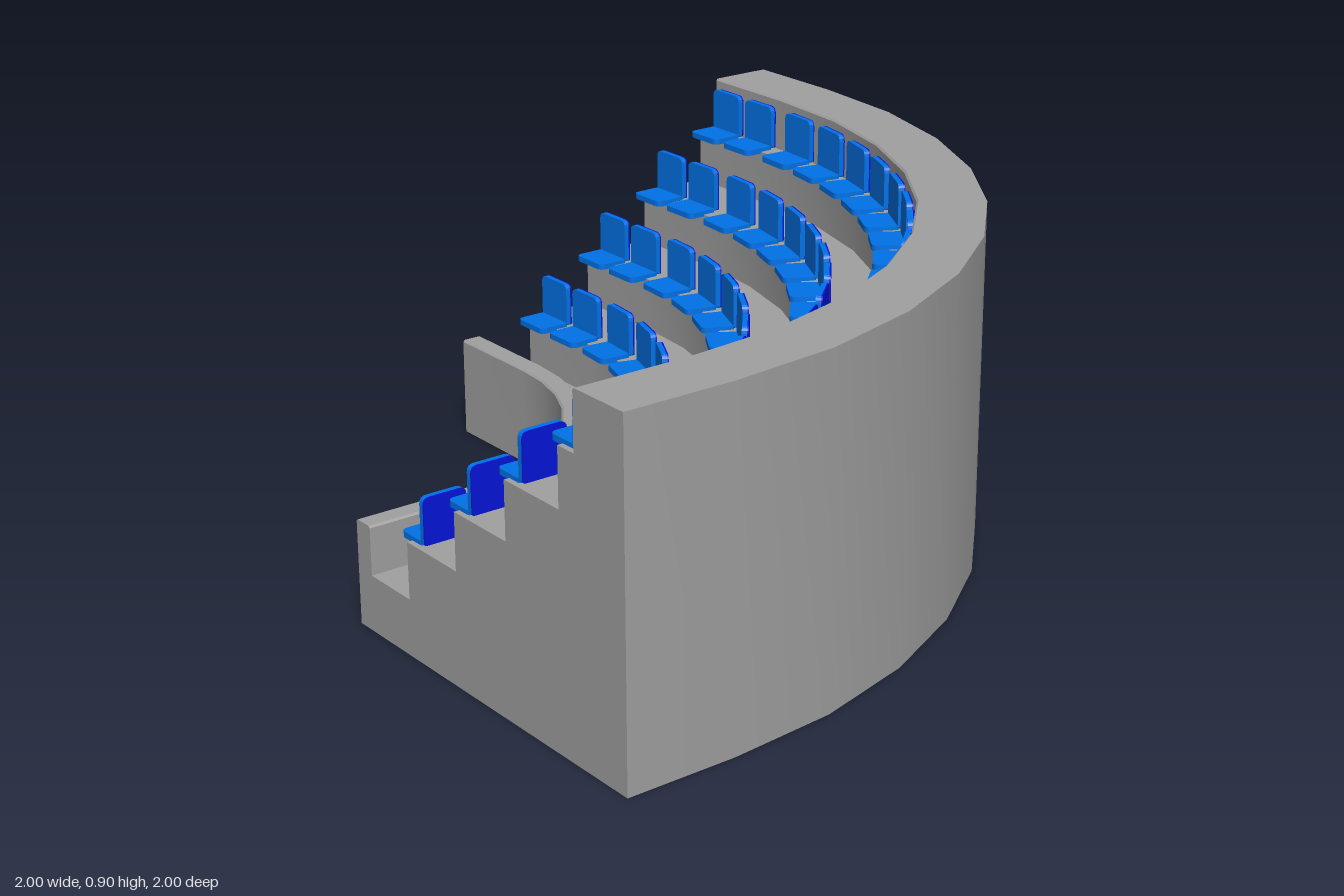
import * as THREE from 'three';

const C = 0.7;            // the bend is centred on x = -C, z = +C
const ARC_STEPS = 9;      // segments in the quarter bend

// Cross-section of the stand: [radius, height], from the front wall to the rear wall
const PROFILE = [
  [0.60, 0], [0.60, 0.275], [0.605, 0.28], [0.655, 0.28], [0.66, 0.275], [0.66, 0.15],
  [0.83, 0.15], [0.83, 0.30], [1.04, 0.30], [1.04, 0.45],
  [1.25, 0.45], [1.25, 0.60], [1.46, 0.60], [1.46, 0.75],
  [1.52, 0.75], [1.52, 0.895], [1.525, 0.90], [1.70, 0.90], [1.70, 0],
];

// Seat rows: riser radius, tread height, number of seats on the bend
const ROWS = [
  [0.83, 0.30, 8], [1.04, 0.45, 10], [1.25, 0.60, 12], [1.46, 0.75, 14],
];

// Stations along the plan: straight, quarter bend, straight
function stations() {
  const list = [{ a: 0, dx: -0.3, dz: 0 }];
  for (let i = 0; i <= ARC_STEPS; i++) list.push({ a: (i / ARC_STEPS) * Math.PI / 2, dx: 0, dz: 0 });
  list.push({ a: Math.PI / 2, dx: 0, dz: 0.3 });
  return list;
}

// One profile edge swept along the plan
function sweepEdge([r0, y0], [r1, y1]) {
  const pos = [], index = [];
  stations().forEach(({ a, dx, dz }, i, all) => {
    for (const [r, y] of [[r0, y0], [r1, y1]]) {
      pos.push(-C + r * Math.sin(a) + dx, y, C - r * Math.cos(a) + dz);
    }
    if (i < all.length - 1) {
      const k = i * 2;
      index.push(k, k + 2, k + 1, k + 1, k + 2, k + 3);
    }
  });
  const g = new THREE.BufferGeometry();
  g.setAttribute('position', new THREE.Float32BufferAttribute(pos, 3));
  g.setIndex(index);
  g.computeVertexNormals();
  return g;
}

// Stepped end face, sign mirrors the radius direction
function endCap(sign) {
  return new THREE.ShapeGeometry(new THREE.Shape(PROFILE.map(([r, y]) => new THREE.Vector2(sign * r, y))));
}

// Rectangle from (-w/2, y0) to (w/2, y1), large rounding at the y1 end
function roundedPanel(w, y0, y1, rTop, rBottom) {
  const s = new THREE.Shape(), h = w / 2;
  s.moveTo(-h + rBottom, y0);
  s.lineTo(h - rBottom, y0);
  s.quadraticCurveTo(h, y0, h, y0 + rBottom);
  s.lineTo(h, y1 - rTop);
  s.quadraticCurveTo(h, y1, h - rTop, y1);
  s.lineTo(-h + rTop, y1);
  s.quadraticCurveTo(-h, y1, -h, y1 - rTop);
  s.lineTo(-h, y0 + rBottom);
  s.quadraticCurveTo(-h, y0, -h + rBottom, y0);
  return s;
}

export function createModel() {
  const concrete = new THREE.MeshStandardMaterial({ color: 0xa0a0a0, side: THREE.DoubleSide });
  concrete.name = 'concreteGrey';
  const blue = new THREE.MeshStandardMaterial({ color: 0x0073ea });
  blue.name = 'seatBlue';
  const darkBlue = new THREE.MeshStandardMaterial({ color: 0x0414d8 });
  darkBlue.name = 'seatBackDarkBlue';

  const model = new THREE.Group();
  model.name = 'cornerGrandstand';
  const add = (parent, geometry, material, name) => {
    const m = new THREE.Mesh(geometry, material);
    m.name = name;
    parent.add(m);
    return m;
  };

  // Stepped stand, an open-bottomed shell
  const stand = new THREE.Group();
  stand.name = 'stand';
  for (let i = 0; i < PROFILE.length - 1; i++) {
    const flat = PROFILE[i][1] === PROFILE[i + 1][1];
    add(stand, sweepEdge(PROFILE[i], PROFILE[i + 1]), concrete, flat ? 'tread' : 'riser');
  }
  add(stand, endCap(1), concrete, 'endWallLeft').position.set(-C, 0, 1);
  const cap = add(stand, endCap(-1), concrete, 'endWallRight');
  cap.rotation.y = -Math.PI / 2;
  cap.position.set(-1, 0, C);
  model.add(stand);

  // Shared seat parts: origin on the step edge, facing +z
  const extrude = (shape, depth) =>
    new THREE.ExtrudeGeometry(shape, { depth, bevelEnabled: false, curveSegments: 4 });
  const panGeo = extrude(roundedPanel(0.12, -0.04, 0.05, 0.018, 0.006), 0.016)
    .rotateX(Math.PI / 2).translate(0, 0.011, 0);
  const backShape = roundedPanel(0.12, 0.003, 0.125, 0.018, 0.006);
  const backGeo = extrude(backShape, 0.014).translate(0, 0, -0.051);
  const rearGeo = extrude(backShape, 0.004).translate(0, 0, -0.055);

  const addSeat = (parent, r, y, a, dx, dz) => {
    const seat = new THREE.Group();
    seat.name = 'seat';
    add(seat, panGeo, blue, 'seatPan');
    add(seat, backGeo, blue, 'seatBack');
    add(seat, rearGeo, darkBlue, 'seatBackRear');
    seat.position.set(-C + r * Math.sin(a) + dx, y, C - r * Math.cos(a) + dz);
    seat.rotation.y = -a;
    parent.add(seat);
  };

  // Four rows: two seats on each straight, the rest around the bend
  for (const [r, y, count] of ROWS) {
    const row = new THREE.Group();
    row.name = 'seatRow';
    for (const d of [0.075, 0.225]) {
      addSeat(row, r, y, 0, -d, 0);
      addSeat(row, r, y, Math.PI / 2, 0, d);
    }
    const start = 0.03 + 0.062 / r;
    for (let i = 0; i < count; i++) {
      addSeat(row, r, y, start + (i / (count - 1)) * (Math.PI / 2 - 2 * start), 0, 0);
    }
    model.add(row);
  }
  return model;
}
